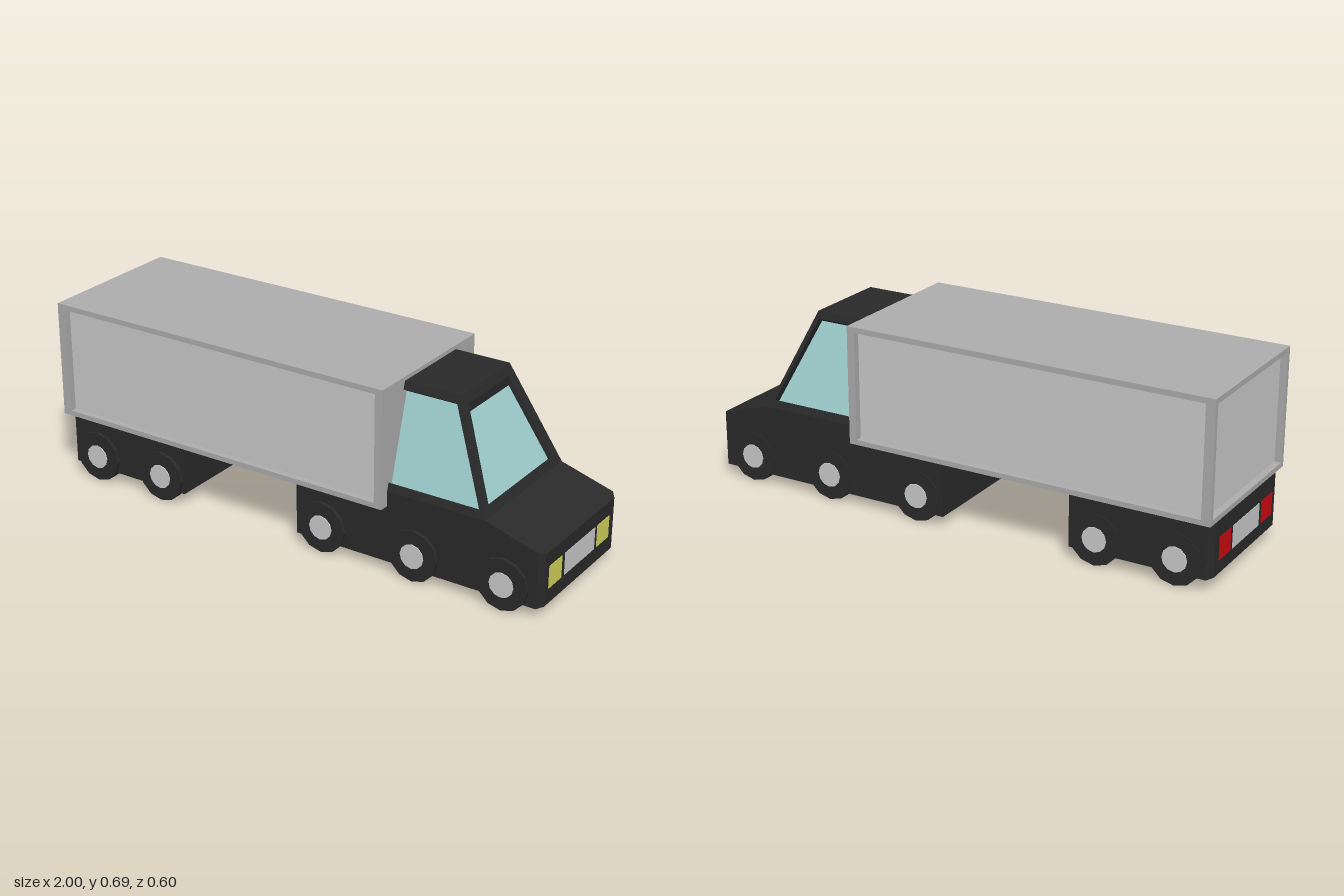
import * as THREE from 'three';

const material = (color) => new THREE.MeshStandardMaterial({ color, flatShading: true });
const dark = material(0x2a2a2a), grey = material(0xcccccc), frameGrey = material(0xaeaeae);
const glass = material(0xa1d0d0), yellow = material(0xd4d45c), red = material(0xd00810);

// Mesh from quads whose corners run counter-clockwise seen from outside
function quadMesh(name, quads, mat) {
  const geometry = new THREE.BufferGeometry();
  const points = quads.flatMap(([a, b, c, d]) => [a, b, c, a, c, d]).flat();
  geometry.setAttribute('position', new THREE.Float32BufferAttribute(points, 3));
  geometry.computeVertexNormals();
  const mesh = new THREE.Mesh(geometry, mat);
  mesh.name = name;
  return mesh;
}

function box(name, size, position, mat) {
  const mesh = new THREE.Mesh(new THREE.BoxGeometry(...size), mat);
  mesh.name = name;
  mesh.position.set(...position);
  return mesh;
}

const mirror = (quad) => quad.map(([x, y, z]) => [x, y, -z]).reverse();

// Frame around an opening, with the pane set back by an offset
function framed(outer, inner, offset) {
  const pane = inner.map((p) => p.map((v, k) => v + offset[k]));
  const frame = [];
  for (let i = 0; i < 4; i++) {
    const j = (i + 1) % 4;
    frame.push([outer[i], outer[j], inner[j], inner[i]], [inner[i], inner[j], pane[j], pane[i]]);
  }
  return { frame, pane };
}

// Closed hull from rectangular sections [x, bottom, top, halfWidth], in order of x
function hull(name, sections) {
  const rings = sections.map(([x, b, t, w]) => [[x, b, w], [x, b, -w], [x, t, -w], [x, t, w]]);
  const quads = [[...rings[0]].reverse(), rings[rings.length - 1]];
  for (let s = 0; s + 1 < rings.length; s++) {
    for (let i = 0; i < 4; i++) {
      const j = (i + 1) % 4;
      quads.push([rings[s][i], rings[s][j], rings[s + 1][j], rings[s + 1][i]]);
    }
  }
  return quadMesh(name, quads, dark);
}

function createCargoBox() {
  const [x0, x1, y0, y1, w] = [-1, 0.402, 0.249, 0.688, 0.298];
  const side = framed(
    [[x0, y0, w], [x1, y0, w], [x1, y1, w], [x0, y1, w]],
    [[-0.966, 0.268, w], [0.372, 0.268, w], [0.372, 0.668, w], [-0.966, 0.668, w]],
    [0, 0, -0.025]);
  const back = framed(
    [[x0, y0, -w], [x0, y0, w], [x0, y1, w], [x0, y1, -w]],
    [[x0, 0.268, -0.28], [x0, 0.268, 0.28], [x0, 0.668, 0.28], [x0, 0.668, -0.28]],
    [0.025, 0, 0]);
  const cargo = new THREE.Group();
  cargo.name = 'cargoBox';
  cargo.add(
    quadMesh('cargoFrame', [
      ...side.frame, ...side.frame.map(mirror), ...back.frame,
      [[x0, y1, w], [x1, y1, w], [x1, y1, -w], [x0, y1, -w]],
      [[x0, y0, -w], [x1, y0, -w], [x1, y0, w], [x0, y0, w]],
      [[x1, y0, w], [x1, y0, -w], [x1, y1, -w], [x1, y1, w]],
    ], frameGrey),
    quadMesh('cargoPanels', [side.pane, mirror(side.pane), back.pane], grey));
  return cargo;
}

function createCabin() {
  const [back, hood, roof, y0, y1, w0, w1] = [0.4, 0.78, 0.614, 0.305, 0.673, 0.267, 0.165];
  // Points on the leaning side wall and on the raked front
  const onSide = (x, y) => [x, y, w0 + (y - y0) / (y1 - y0) * (w1 - w0)];
  const onFront = (y, z) => [hood + (y - y0) / (y1 - y0) * (roof - hood), y, z];
  const side = framed(
    [onSide(back, y0), onSide(hood, y0), onSide(roof, y1), onSide(back, y1)],
    [onSide(back, 0.335), onSide(0.752, 0.335), onSide(0.608, 0.645), onSide(back, 0.645)],
    [0, -0.012, -0.02]);
  const front = framed(
    [onFront(y0, w0), onFront(y0, -w0), onFront(y1, -w1), onFront(y1, w1)],
    [onFront(0.34, 0.219), onFront(0.34, -0.219), onFront(0.638, -0.135), onFront(0.638, 0.135)],
    [0, -0.034, 0]);
  const cabin = new THREE.Group();
  cabin.name = 'cabin';
  cabin.add(
    quadMesh('cabinFrame', [
      ...side.frame, ...side.frame.map(mirror), ...front.frame,
      [[back, y1, w1], [roof, y1, w1], [roof, y1, -w1], [back, y1, -w1]],
      [[back, y0, -w0], [back, y0, w0], [back, y1, w1], [back, y1, -w1]],
    ], dark),
    quadMesh('windshield', [front.pane], glass),
    quadMesh('sideWindows', [side.pane, mirror(side.pane)], glass));
  return cabin;
}

// Pair of lamps with a plate between them
function createLampRow(name, x, lampMaterial) {
  const row = new THREE.Group();
  row.name = name;
  for (const s of [1, -1]) row.add(box('lamp', [0.006, 0.083, 0.088], [x, 0.141, s * 0.171], lampMaterial));
  row.add(box('plate', [0.006, 0.083, 0.214], [x, 0.141, -0.002], grey));
  return row;
}

function createWheel(x, s) {
  const wheel = new THREE.Group();
  wheel.name = 'wheel';
  const tire = new THREE.Mesh(new THREE.CylinderGeometry(0.096, 0.096, 0.046, 12), dark);
  tire.name = 'tire';
  const hub = new THREE.Mesh(new THREE.CylinderGeometry(0.046, 0.046, 0.02, 12), grey);
  hub.name = 'hub';
  hub.position.y = s * 0.0165;
  wheel.add(tire, hub);
  wheel.rotation.x = Math.PI / 2;
  wheel.position.set(x, 0.096, s * 0.2525);
  return wheel;
}

export function createModel() {
  const truck = new THREE.Group();
  truck.name = 'truck';
  truck.add(createCargoBox());

  // Cab, with its lower body and sloping hood
  const cab = new THREE.Group();
  cab.name = 'cab';
  cab.position.z = -0.005;
  cab.add(
    hull('lowerBody', [
      [0.03, 0.038, 0.25, 0.267], [0.4, 0.038, 0.25, 0.267], [0.4, 0.038, 0.305, 0.267],
      [0.78, 0.038, 0.305, 0.267], [0.98, 0.038, 0.245, 0.267], [0.998, 0.042, 0.237, 0.243],
    ]),
    createCabin());
  truck.add(cab, createLampRow('headlights', 0.997, yellow));

  // Rear chassis
  const rear = hull('rearChassis', [
    [-0.998, 0.05, 0.25, 0.243], [-0.98, 0.045, 0.25, 0.267], [-0.471, 0.045, 0.25, 0.267],
  ]);
  rear.position.z = -0.005;
  truck.add(rear, createLampRow('tailLights', -0.997, red));

  // Five axles of wheels
  for (const x of [-0.868, -0.57, 0.14, 0.512, 0.857]) {
    for (const s of [1, -1]) truck.add(createWheel(x, s));
  }
  return truck;
}
